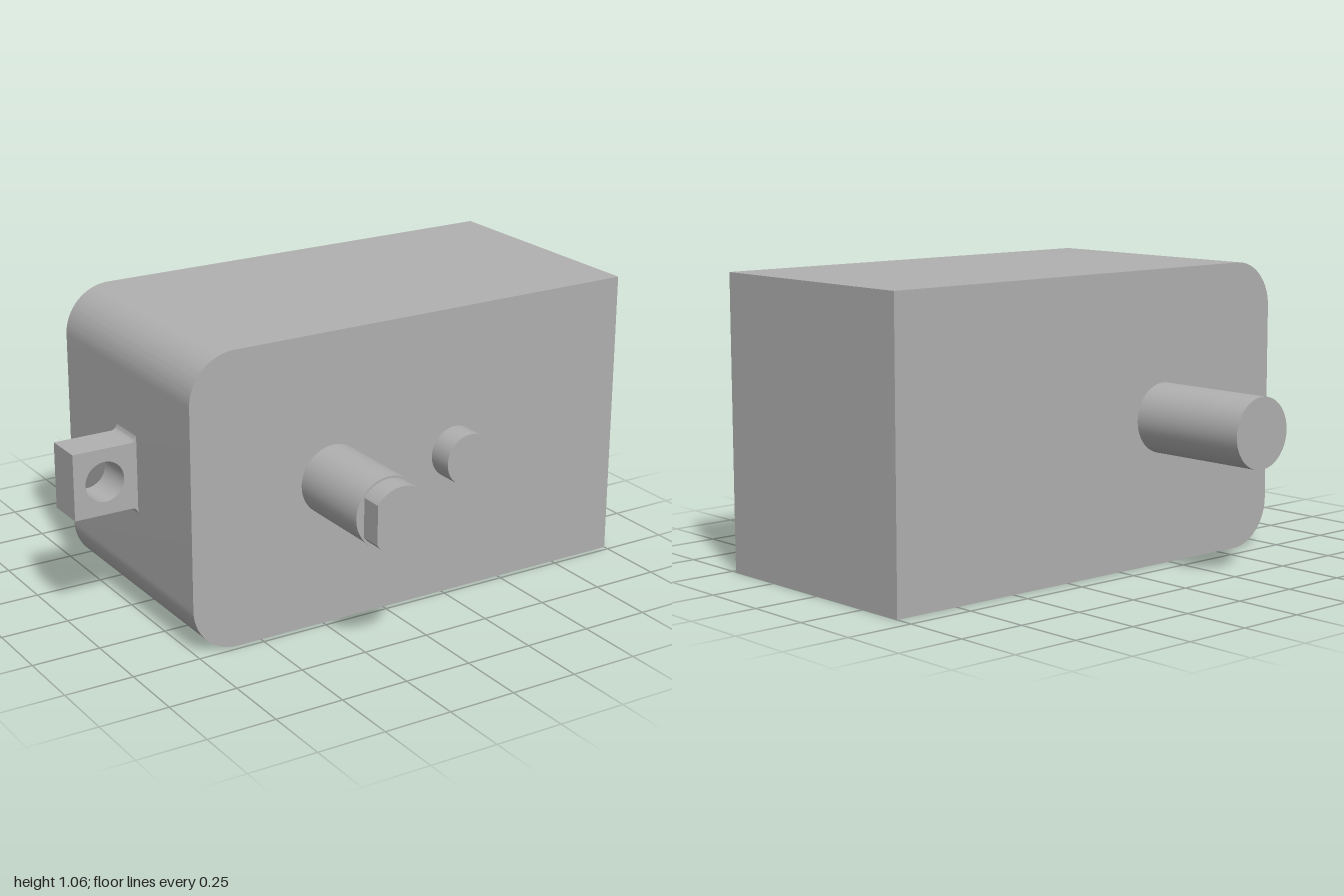
import * as THREE from 'three';
import { toCreasedNormals } from 'three/addons/utils/BufferGeometryUtils.js';

export function createModel() {
  const group = new THREE.Group();
  const grey = new THREE.MeshStandardMaterial({ color: 0xb0b0b0 });
  grey.name = 'plain grey';
  const midY = 0.53;

  // Extrudes an outline in x/y from z0 to z1, smoothing only the curved sides.
  function extrude(name, shape, z0, z1) {
    const geo = new THREE.ExtrudeGeometry(shape, { depth: z1 - z0, bevelEnabled: false, curveSegments: 16 });
    geo.translate(0, 0, z0);
    const mesh = new THREE.Mesh(toCreasedNormals(geo, 0.5), grey);
    mesh.name = name;
    group.add(mesh);
  }

  // Round bar along z.
  function bar(name, x, radius, z0, z1) {
    const geo = new THREE.CylinderGeometry(radius, radius, z1 - z0, 48);
    geo.rotateX(Math.PI / 2);
    geo.translate(x, midY, (z0 + z1) / 2);
    const mesh = new THREE.Mesh(geo, grey);
    mesh.name = name;
    group.add(mesh);
  }

  // Housing: square at one end, rounded corners at the other
  const left = -0.76, top = 1.06, r = 0.17;
  const body = new THREE.Shape();
  body.moveTo(1, 0);
  body.lineTo(1, top);
  body.lineTo(left + r, top);
  body.absarc(left + r, top - r, r, Math.PI / 2, Math.PI, false);
  body.lineTo(left, r);
  body.absarc(left + r, r, r, Math.PI, Math.PI * 1.5, false);
  body.closePath();
  extrude('housing', body, -0.43, 0.48);

  // Shaft stubs on both faces, and the locating pin
  bar('frontShaft', -0.21, 0.126, 0.47, 0.82);
  bar('rearShaft', -0.21, 0.126, -0.9, -0.42);
  bar('locatingPin', 0.293, 0.095, 0.47, 0.577);

  // Shaft tip with two flats
  const tipR = 0.118, a = Math.acos(0.095 / tipR);
  const tip = new THREE.Shape();
  tip.absarc(-0.21, midY, tipR, a, Math.PI - a, false);
  tip.absarc(-0.21, midY, tipR, Math.PI + a, Math.PI * 2 - a, false);
  tip.closePath();
  extrude('shaftTip', tip, 0.815, 0.9);

  // Mounting lug with a bolt hole and small fillets where it meets the housing
  const f = 0.025, h = 0.12;
  const lug = new THREE.Shape();
  lug.moveTo(-1, midY - h);
  lug.lineTo(left - f, midY - h);
  lug.absarc(left - f, midY - h - f, f, Math.PI / 2, 0, true);
  lug.lineTo(left + 0.01, midY - h - f);
  lug.lineTo(left + 0.01, midY + h + f);
  lug.lineTo(left, midY + h + f);
  lug.absarc(left - f, midY + h + f, f, 0, -Math.PI / 2, true);
  lug.lineTo(-1, midY + h);
  lug.closePath();
  const hole = new THREE.Path();
  hole.absarc(-0.883, midY, 0.073, 0, Math.PI * 2, true);
  lug.holes.push(hole);
  extrude('mountingLug', lug, -0.05, 0.095);

  return group;
}
